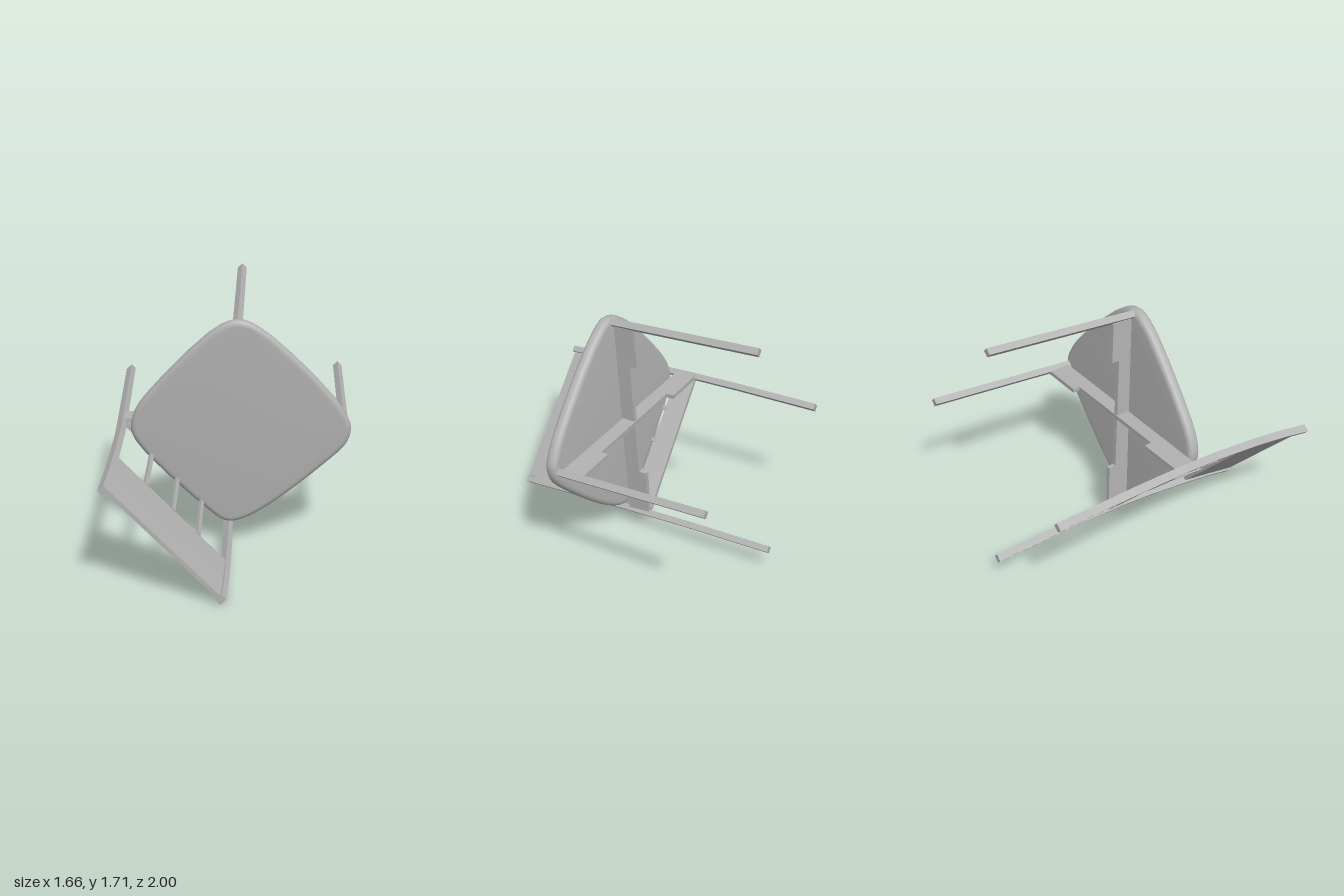
import * as THREE from 'three';
import { toCreasedNormals } from 'three/addons/utils/BufferGeometryUtils.js';

const grey = new THREE.MeshStandardMaterial({ color: 0xb2b2b2 });
grey.name = 'plain grey';

// The chair lies tipped over: its seat faces +z, U runs along the back, V towards the front.
const U = new THREE.Vector3(0.677, -0.735, 0);
const V = new THREE.Vector3(0.735, 0.677, 0);

export function createModel() {
  const chair = new THREE.Group();
  chair.name = 'chair';

  function add(name, geometry) {
    const mesh = new THREE.Mesh(geometry, grey);
    mesh.name = name;
    chair.add(mesh);
  }

  // Rectangular bar swept through points of increasing z; w along U, d along V
  function bar(name, points, w, d) {
    const pos = [], index = [];
    for (const p of points) {
      for (const [a, b] of [[-1, -1], [1, -1], [1, 1], [-1, 1]]) {
        const c = new THREE.Vector3(...p).addScaledVector(U, a * w / 2).addScaledVector(V, b * d / 2);
        pos.push(c.x, c.y, c.z);
      }
    }
    for (let i = 0; i < points.length - 1; i++) {
      for (let k = 0; k < 4; k++) {
        const a = i * 4 + k, b = i * 4 + (k + 1) % 4;
        index.push(a, b, b + 4, a, b + 4, a + 4);
      }
    }
    const e = (points.length - 1) * 4;
    index.push(0, 2, 1, 0, 3, 2, e, e + 1, e + 2, e, e + 2, e + 3);
    const g = new THREE.BufferGeometry();
    g.setAttribute('position', new THREE.Float32BufferAttribute(pos, 3));
    g.setIndex(index);
    const flat = g.toNonIndexed();
    flat.computeVertexNormals();
    add(name, flat);
  }

  // Upright board between two xy points; profile is [fraction along, z]
  function board(name, from, to, profile, thickness) {
    const a = new THREE.Vector3(...from, 0), b = new THREE.Vector3(...to, 0);
    const length = a.distanceTo(b);
    const shape = new THREE.Shape(profile.map(([t, z]) => new THREE.Vector2(t * length, z)));
    const g = new THREE.ExtrudeGeometry(shape, { depth: thickness, bevelEnabled: false });
    g.translate(0, 0, -thickness / 2);
    const x = b.sub(a).normalize(), y = new THREE.Vector3(0, 0, 1);
    const m = new THREE.Matrix4().makeBasis(x, y, new THREE.Vector3().crossVectors(x, y));
    g.applyMatrix4(m.setPosition(a));
    add(name, g);
  }

  // Seat cushion: rounded outline with soft edges, sheared onto its tilted plane
  const outline = [
    [0.04, 1.62], [-0.105, 1.57], [-0.555, 1.12], [-0.645, 0.985], [-0.672, 0.86], [-0.62, 0.74],
    [-0.15, 0.25], [-0.06, 0.185], [0.03, 0.185], [0.21, 0.28], [0.59, 0.60], [0.75, 0.77],
    [0.775, 0.86], [0.765, 0.92], [0.66, 1.09], [0.19, 1.555],
  ].map(([x, y]) => new THREE.Vector3(x, y, 0));
  const loop = new THREE.CatmullRomCurve3(outline, true).getPoints(56).slice(0, -1);
  const seat = new THREE.ExtrudeGeometry(new THREE.Shape(loop.map(p => new THREE.Vector2(p.x, p.y))), {
    depth: 0.02, bevelThickness: 0.031, bevelSize: 0.035, bevelOffset: -0.035, bevelSegments: 4,
  });
  const p = seat.attributes.position;
  for (let i = 0; i < p.count; i++) {
    p.setZ(i, p.getZ(i) + 0.1 + 0.035 * p.getX(i) + 0.057 * p.getY(i));
  }
  add('seat', toCreasedNormals(seat, 0.7));

  // Splayed front legs
  bar('frontLeg', [[0.09, 1.68, -0.9], [0.03, 1.59, 0.17]], 0.045, 0.045);
  bar('frontLeg', [[0.795, 0.932, -0.925], [0.737, 0.845, 0.15]], 0.045, 0.045);

  // Curved back posts, each a rear leg and back upright in one
  bar('backPost', [
    [-0.73, 0.898, -0.98], [-0.731, 0.892, -0.4], [-0.733, 0.88, 0], [-0.737, 0.866, 0.25],
    [-0.756, 0.842, 0.58], [-0.775, 0.82, 0.8], [-0.797, 0.795, 0.995],
  ], 0.042, 0.052);
  bar('backPost', [
    [-0.03, 0.16, -1], [-0.028, 0.15, -0.4], [-0.03, 0.132, 0], [-0.038, 0.114, 0.25],
    [-0.058, 0.085, 0.58], [-0.074, 0.06, 0.8], [-0.092, 0.036, 0.975],
  ], 0.042, 0.052);

  // Backrest panel and its three spindles
  bar('backPanel', [[-0.403, 0.466, 0.58], [-0.421, 0.443, 0.78], [-0.441, 0.419, 0.975]], 0.99, 0.026);
  for (const t of [0.26, 0.5, 0.73]) {
    const x = -0.742 + 0.697 * t, y = 0.842 - 0.742 * t;
    bar('spindle', [[x + 0.025, y + 0.04, 0.06], [x + 0.012, y + 0.015, 0.35], [x, y, 0.59]], 0.028, 0.023);
  }

  // Crossed under-seat braces with deeper ends, and the back rail
  board('crossBrace', [-0.03, 0.14], [0.03, 1.58], [
    [0, -0.09], [0.236, -0.072], [0.236, -0.02], [0.806, 0.035], [0.806, -0.02], [1, 0], [1, 0.145], [0, 0.065],
  ], 0.03);
  board('crossBrace', [-0.735, 0.89], [0.74, 0.845], [
    [0, -0.07], [0.227, -0.062], [0.227, -0.01], [0.79, 0.015], [0.79, -0.035], [1, -0.025], [1, 0.125], [0, 0.07],
  ], 0.03);
  board('backRail', [-0.73, 0.885], [-0.03, 0.135], [[0, -0.07], [1, -0.09], [1, 0.065], [0, 0.07]], 0.03);

  return chair;
}
